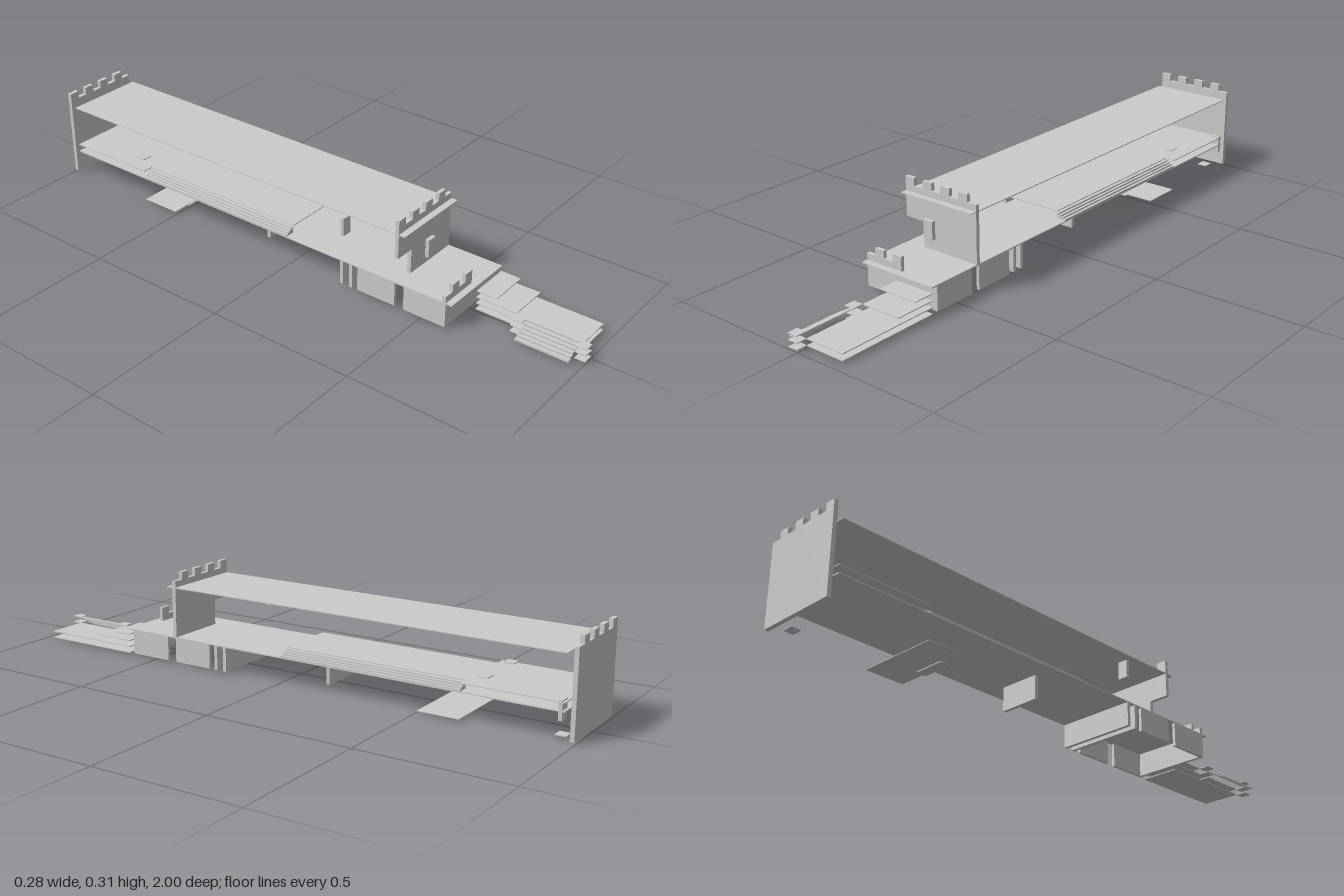
import * as THREE from 'three';

const U = 0.035; // grid module of the castle
const W = 4 * U; // half width

export function createModel() {
  const root = new THREE.Group();
  const mat = new THREE.MeshStandardMaterial({ color: 0xcccccc, flatShading: true, side: THREE.DoubleSide });

  const add = (name, geo) => {
    const m = new THREE.Mesh(geo, mat);
    m.name = name;
    root.add(m);
    return m;
  };
  // box given by its limits
  const box = (name, x0, x1, y0, y1, z0, z1) => {
    const m = add(name, new THREE.BoxGeometry(x1 - x0, y1 - y0, z1 - z0));
    m.position.set((x0 + x1) / 2, (y0 + y1) / 2, (z0 + z1) / 2);
    return m;
  };
  // thin sheet whose top is at y
  const sheet = (name, x0, x1, y, z0, z1, t = 0.003) => box(name, x0, x1, y - t, y, z0, z1);
  // upright wall extruded along z from an outline
  const wall = (name, pts, z, t) => {
    const s = new THREE.Shape(pts.map(p => new THREE.Vector2(p[0], p[1])));
    const m = add(name, new THREE.ExtrudeGeometry(s, { depth: t, bevelEnabled: false }));
    m.position.z = z;
    return m;
  };
  // battlement outline running from right to left; teeth alternate
  const battlement = (xRight, xLeft, low, high, startHigh) => {
    const pts = [];
    let up = startHigh;
    const n = Math.round((xRight - xLeft) / U);
    for (let i = 0; i < n; i++, up = !up) {
      const y = up ? high : low;
      pts.push([xRight - i * U, y], [xRight - (i + 1) * U, y]);
    }
    return pts;
  };

  // keep: roof, end wall and front wall with an open corner
  const crown = battlement(W, -W, 0.283, 0.308, false);
  sheet('roof', -W, W, 0.262, -0.968, 0.438);
  wall('backWall', [[-W, 0.007], [W, 0.007], ...crown], -1, 0.014);
  wall('keepFrontWall', [[-2 * U, 0.178], [-2 * U, 0.092], [W, 0.092], ...crown, [-W, 0.178]], 0.403, 0.013);
  box('frontWindowPanel', -U, 0, 0.145, 0.206, 0.442, 0.455);
  box('innerWindowPanel', -W, -3 * U, 0.18, 0.241, 0.2, 0.212);
  box('backDoorPanel', 3 * U, W, 0.063, 0.123, -0.96, -0.948);

  // main floor and raised floor
  sheet('mainFloor', -W, W, 0.093, -0.968, 0.612, 0.004);
  sheet('raisedFloorFront', -3 * U, 3 * U, 0.119, -0.645, -0.015);
  sheet('raisedFloorBack', -W, W, 0.119, -0.968, -0.645);

  // long side steps leading up to the raised floor
  const sideSteps = 4, rise = 0.026 / (sideSteps + 1);
  for (const s of [-1, 1]) {
    for (let i = 0; i < sideSteps; i++) {
      const a = s * (W - i * U / sideSteps), b = s * (W - (i + 1) * U / sideSteps);
      box('sideStep', Math.min(a, b), Math.max(a, b), 0.093, 0.093 + (i + 1) * rise, -0.645, -0.015);
    }
    sheet('raisedPlate', s * 2.5 * U - U / 2, s * 2.5 * U + U / 2, 0.137, -0.715, -0.68);
  }

  // gate wall with short battlement
  const gateTop = battlement(0, -W, 0.115, 0.14, true);
  wall('gateWall', [[-W, 0.008], [W, 0.008], [W, 0.091], [0, 0.091], ...gateTop], 0.578, 0.012);

  // lower side walls and cross walls
  for (const s of [-1, 1]) {
    for (const [z0, z1] of [[0.44, 0.58], [0.267, 0.407]]) {
      const m = box('lowerSideWall', -0.005, 0.005, 0.008, 0.09, z0, z1);
      m.position.x = s * (W - 0.005);
    }
  }
  for (const z of [0.235, 0.2]) box('lowerCrossWall', -W, W, 0.008, 0.09, z, z + 0.012);
  box('middleSupportWall', -2 * U, 2 * U, 0.008, 0.09, -0.154, -0.142);

  // plates at ground level
  sheet('groundPlate', -W, W, 0.009, -0.645, -0.505, 0.002);
  sheet('groundSmallPlate', -2 * U, U, 0.003, -0.54, -0.505);
  sheet('groundBackPlate', 2 * U, 3 * U, 0.009, -0.962, -0.927);

  // entrance terraces descending toward the front
  for (const [y, z1] of [[0.073, 0.68], [0.051, 0.75], [0.03, 0.965], [0.009, 0.965]])
    sheet('terrace', 0, W, y, 0.61, z1);
  for (const y of [0.009, 0.03, 0.051]) {
    sheet('terraceTab', -U, 0, y, 0.75, 0.787, 0.003);
    sheet('terraceTab', -U, 0, y, 0.965, 1, 0.003);
  }

  // entrance stair: folded treads and risers
  const n = 6, run = 2 * U / n, h = 0.042 / n;
  for (let i = 0; i < n; i++) {
    const x = -2 * U + i * run, y = 0.009 + (i + 1) * h;
    sheet('stairTread', x, x + run, y, 0.787, 0.965, 0.002);
    box('stairRiser', x, x + 0.002, y - h, y, 0.787, 0.965);
  }

  return root;
}
